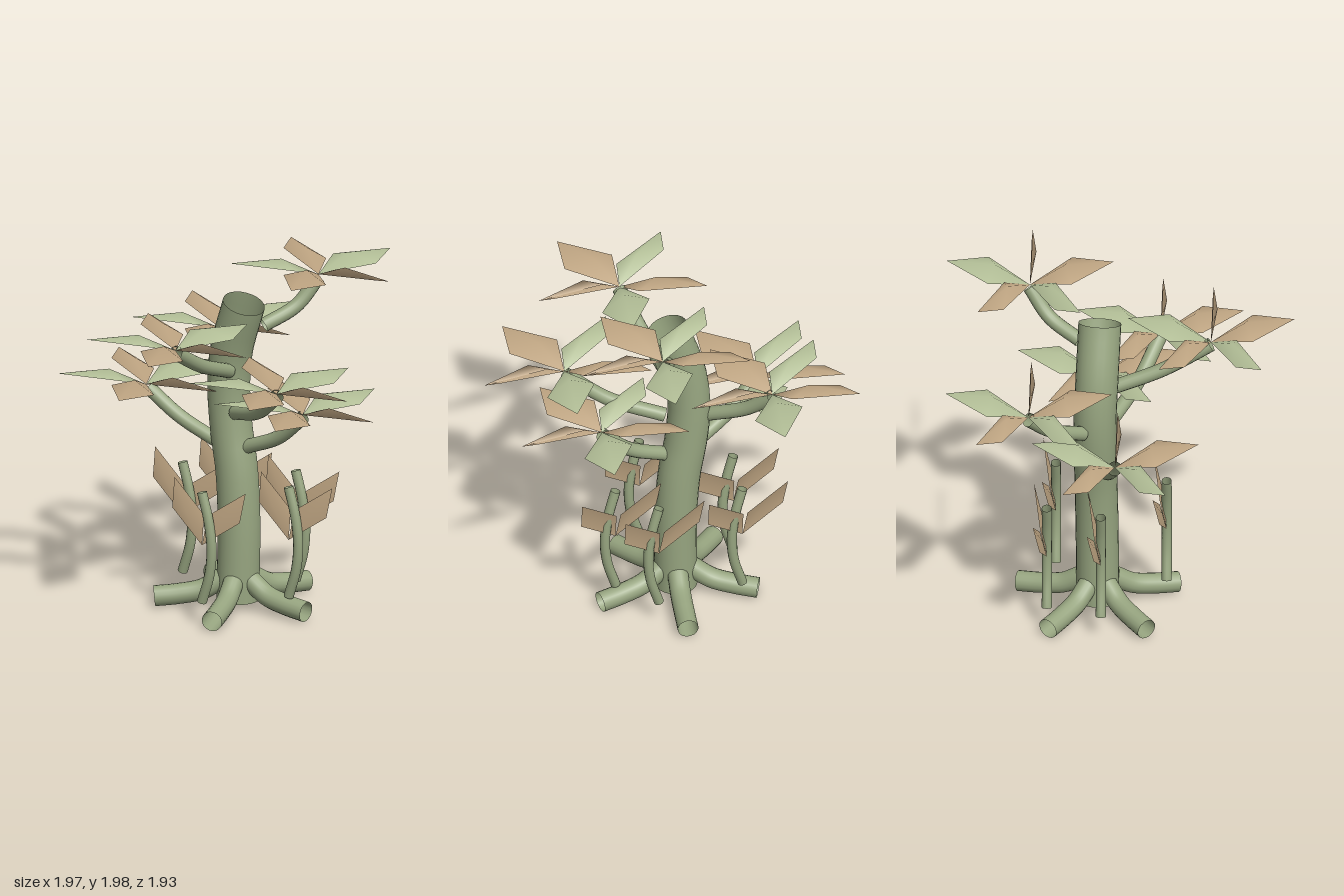
import * as THREE from 'three';

const bark = new THREE.MeshStandardMaterial({ name: 'bark green', color: 0x97a580, side: THREE.DoubleSide });
const green = new THREE.MeshStandardMaterial({ name: 'leaf green', color: 0xb4c098, side: THREE.DoubleSide });
const tan = new THREE.MeshStandardMaterial({ name: 'leaf tan', color: 0xc0a683, side: THREE.DoubleSide });

// Open smooth tube through a few points
function tube(name, points, radius, sides = 16) {
  const curve = new THREE.CatmullRomCurve3(points.map(p => new THREE.Vector3(...p)));
  const mesh = new THREE.Mesh(new THREE.TubeGeometry(curve, 20, radius, sides, false), bark);
  mesh.name = name;
  return mesh;
}

// Diamond leaf folded along its rib: base, tip, raised rib point and two side corners
function leaf(name, tip, rib, corner, halfWidth, material) {
  const [tx, , tz] = tip;
  const positions = [
    0, 0, 0,
    tx / 2 + halfWidth, corner, tz / 2,
    ...tip,
    tx / 2 - halfWidth, corner, tz / 2,
    ...rib,
  ];
  const index = [0, 1, 4, 1, 2, 4, 2, 3, 4, 3, 0, 4];
  // Keep the upper side as the front
  if (tz > 0) for (let i = 0; i < index.length; i += 3) [index[i], index[i + 1]] = [index[i + 1], index[i]];
  const geometry = new THREE.BufferGeometry();
  geometry.setAttribute('position', new THREE.Float32BufferAttribute(positions, 3));
  geometry.setIndex(index);
  geometry.computeVertexNormals();
  const mesh = new THREE.Mesh(geometry, material);
  mesh.name = name;
  return mesh;
}

// Five leaves spread around a branch end
function leafCluster(position) {
  const group = new THREE.Group();
  group.name = 'leafCluster';
  [tan, green, tan, green, tan].forEach((material, i) => {
    const a = i * Math.PI * 2 / 5;
    const x = Math.cos(a) * 0.495, z = -Math.sin(a) * 0.485 + (i === 0 ? 0.01 : 0);
    group.add(leaf('canopyLeaf', [x, 0.06, z], [x * 0.42, 0.09, z * 0.42 + (i === 0 ? 0.03 : 0)], 0.045, 0.147, material));
  });
  group.position.set(...position);
  return group;
}

export function createModel() {
  const model = new THREE.Group();
  model.name = 'tree';

  // Trunk
  model.add(tube('trunk', [
    [-0.035, 0.05, -0.14], [-0.03, 0.5, -0.145], [-0.05, 0.8, -0.15], [-0.09, 1.03, -0.155],
    [-0.108, 1.25, -0.155], [-0.085, 1.48, -0.145], [0.015, 1.785, -0.13],
  ], 0.119, 24));

  // Roots
  for (let i = 0; i < 5; i++) {
    const a = i * Math.PI * 2 / 5;
    const at = (r, y) => [-0.03 + Math.cos(a) * r, y, -0.14 + Math.sin(a) * r];
    model.add(tube('root', [at(0.09, 0.17), at(0.2, 0.105), at(0.33, 0.078), at(0.465, 0.064)], 0.058));
  }

  // Branches, each ending in a leaf cluster
  const branches = [
    [[-0.16, 0.95, -0.12], [-0.39, 1.06, -0.08], [-0.575, 1.2, -0.04]],
    [[0.03, 0.95, -0.14], [0.25, 1.05, -0.135], [0.42, 1.2, -0.13]],
    [[-0.2, 1.2, -0.22], [-0.34, 1.3, -0.39], [-0.44, 1.43, -0.52]],
    [[0, 1.16, -0.07], [0.27, 1.26, 0.08], [0.485, 1.425, 0.2]],
    [[-0.035, 1.4, -0.06], [-0.02, 1.51, 0.22], [0, 1.66, 0.485]],
    [[0.07, 1.64, -0.24], [0.17, 1.73, -0.41], [0.24, 1.88, -0.52]],
  ];
  for (const path of branches) {
    model.add(tube('branch', path, 0.04));
    const [x, y, z] = path[2];
    model.add(leafCluster([x < -0.5 ? -0.59 : x, y + 0.015, z]));
  }

  // Saplings around the trunk, each with a pair of upright leaves
  for (const [x, z] of [[0.33, -0.12], [0, 0.24], [-0.4, -0.12], [-0.305, -0.42], [0.19, -0.375]]) {
    const sapling = new THREE.Group();
    sapling.name = 'sapling';
    sapling.add(tube('saplingStem', [[0, 0.14, 0], [0.052, 0.31, 0], [0.066, 0.46, 0], [0.045, 0.62, 0], [0, 0.78, 0]], 0.028, 12));
    for (const side of [-1, 1]) {
      const blade = leaf('saplingLeaf', [side * 0.245, 0.33, -0.075], [side * 0.125, 0.165, -0.02], 0.165, 0.11, tan);
      blade.position.y = 0.47;
      sapling.add(blade);
    }
    sapling.position.set(x, 0, z);
    model.add(sapling);
  }
  return model;
}
